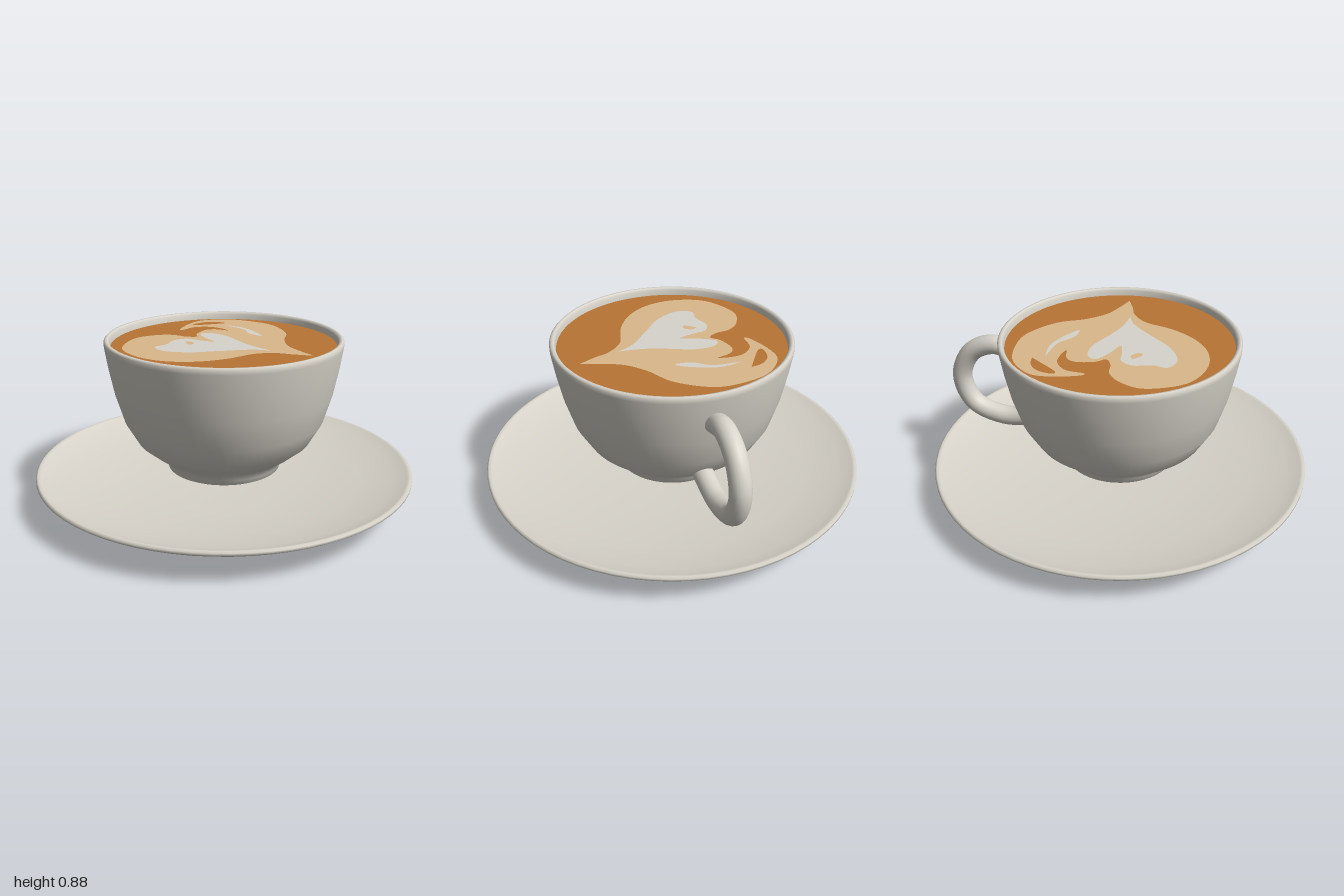
import * as THREE from 'three';

const mat = (name, color, side = THREE.FrontSide) => {
  const m = new THREE.MeshStandardMaterial({ color, side });
  m.name = name;
  return m;
};

export function createModel() {
  const group = new THREE.Group();
  const ceramic = mat('ceramic', 0xd8d4ca);
  const coffee = mat('coffee', 0xb87434);
  const cream = mat('cream', 0xdab88a);
  const milk = mat('milk foam', 0xd6d4cc);

  const add = (name, geometry, material) => {
    const mesh = new THREE.Mesh(geometry, material);
    mesh.name = name;
    group.add(mesh);
    return mesh;
  };
  const lathe = (pts) => new THREE.LatheGeometry(pts.map(([r, y]) => new THREE.Vector2(r, y)), 72);

  // Saucer: shallow dish on a low foot
  add('saucer', lathe([
    [0, 0.005], [0.35, 0.005], [0.365, 0.008], [0.385, 0.026], [0.55, 0.046], [0.73, 0.07],
    [0.93, 0.122], [0.99, 0.155], [1, 0.163], [1, 0.175], [0.99, 0.182], [0.975, 0.178],
    [0.91, 0.153], [0.73, 0.117], [0.4, 0.08], [0, 0.075],
  ]), ceramic);
  add('saucerBase', new THREE.CylinderGeometry(0.35, 0.35, 0.006, 72).translate(0, 0.003, 0), ceramic);

  // Cup: foot, bowl, rounded rim and inner wall
  add('cup', lathe([
    [0, 0.168], [0.285, 0.168], [0.298, 0.175], [0.305, 0.2], [0.325, 0.236], [0.385, 0.275],
    [0.46, 0.337], [0.525, 0.45], [0.57, 0.6], [0.598, 0.74], [0.615, 0.85], [0.615, 0.872],
    [0.606, 0.881], [0.594, 0.88], [0.586, 0.868], [0.583, 0.84], [0.568, 0.74], [0.54, 0.6],
    [0.49, 0.45], [0.42, 0.36], [0.3, 0.28], [0, 0.26],
  ]), ceramic);

  // Handle: round tube with flat ends
  const path = new THREE.CatmullRomCurve3([
    [0.575, 0.712], [0.69, 0.742], [0.82, 0.685], [0.893, 0.53], [0.835, 0.37], [0.66, 0.306], [0.46, 0.335],
  ].map(([x, y]) => new THREE.Vector3(x, y, 0)));
  add('handle', new THREE.TubeGeometry(path, 48, 0.053, 20), ceramic);
  for (const t of [0, 1]) {
    const cap = add('handleEnd', new THREE.CircleGeometry(0.053, 20), ceramic);
    const p = path.getPointAt(t);
    cap.position.copy(p);
    cap.lookAt(p.clone().addScaledVector(path.getTangentAt(t), t ? 1 : -1));
  }

  // Coffee surface
  const level = 0.84;
  add('coffeeSurface', new THREE.CircleGeometry(0.583, 72).rotateX(-Math.PI / 2).translate(0, level, 0), coffee);

  // Foam art: smooth outlines in x, z that start and end at a sharp tip
  const outline = (pts) => new THREE.SplineCurve([...pts, pts[0]]
    .map(([x, z]) => new THREE.Vector2(x, -z))).getPoints(pts.length * 6).slice(0, -1);
  const foam = (name, pts, layer, material, holes = []) => {
    const shape = new THREE.Shape(outline(pts));
    shape.holes = holes.map((h) => new THREE.Path(outline(h)));
    add(name, new THREE.ShapeGeometry(shape).rotateX(-Math.PI / 2).translate(0, level + layer * 0.003, 0), material);
  };

  foam('creamHeart', [
    [0.07, 0.5], [0.03, 0.41], [0, 0.33], [-0.08, 0.25], [-0.235, 0.2], [-0.37, 0.11], [-0.455, -0.02],
    [-0.47, -0.18], [-0.4, -0.34], [-0.225, -0.43], [-0.1, -0.4], [-0.03, -0.33], [-0.015, -0.25],
    [0.02, -0.2], [0.07, -0.24], [0.165, -0.26], [0.215, -0.225], [0.235, -0.155], [0.25, -0.22],
    [0.24, -0.29], [0.18, -0.35], [0.085, -0.36], [0.11, -0.39], [0.245, -0.43], [0.35, -0.42],
    [0.46, -0.315], [0.5, -0.155], [0.485, -0.02], [0.38, 0.13], [0.245, 0.21], [0.15, 0.3], [0.1, 0.41],
  ], 1, cream, [
    [[0.375, -0.27], [0.3, -0.32], [0.225, -0.375], [0.235, -0.4], [0.31, -0.385], [0.36, -0.335]],
  ]);
  foam('milkHeart', [
    [0.015, 0.29], [-0.03, 0.2], [-0.155, 0.085], [-0.26, -0.01], [-0.32, -0.13], [-0.29, -0.215],
    [-0.21, -0.21], [-0.12, -0.235], [-0.055, -0.2], [-0.04, -0.12], [-0.015, -0.05], [0.02, -0.14],
    [0.07, -0.215], [0.12, -0.18], [0.12, -0.075], [0.065, 0.06], [0.03, 0.165],
  ], 2, milk, [
    [[-0.105, -0.175], [-0.09, -0.14], [-0.12, -0.105], [-0.145, -0.12]],
  ]);
  foam('milkStreak', [
    [0.315, -0.25], [0.33, -0.13], [0.29, -0.01], [0.235, 0.07], [0.24, -0.015], [0.3, -0.1],
  ], 2, milk);

  return group;
}
